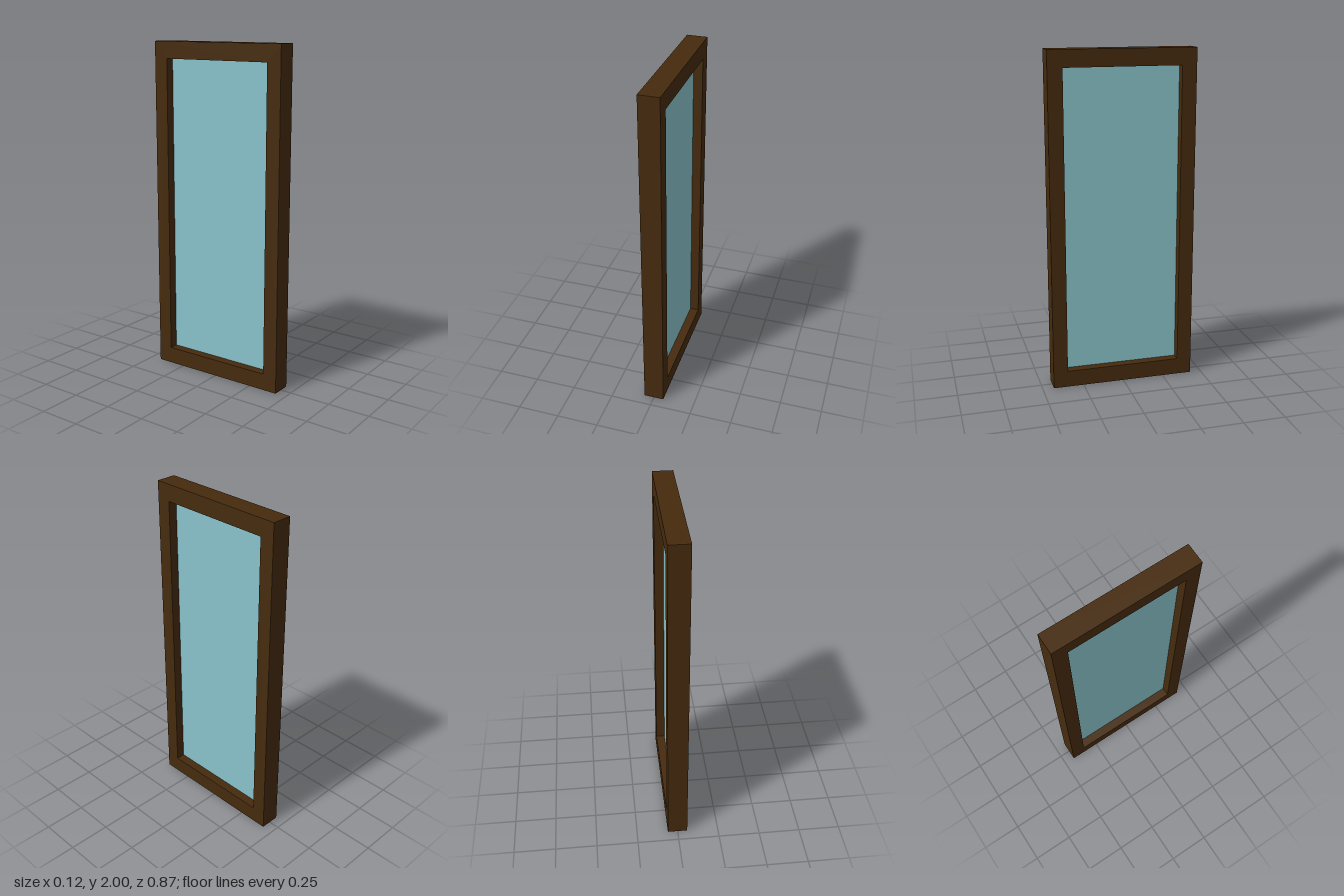
import * as THREE from 'three';

const HEIGHT = 2, WIDTH = 0.866, DEPTH = 0.12;
const OPENING_W = 0.692, OPENING_H = 1.8, GLASS_T = 0.012;

// Traces a centred rectangle into a shape or hole path
function rectangle(path, w, h) {
  path.moveTo(-w / 2, -h / 2);
  path.lineTo(w / 2, -h / 2);
  path.lineTo(w / 2, h / 2);
  path.lineTo(-w / 2, h / 2);
  path.closePath();
  return path;
}

export function createModel() {
  const wood = new THREE.MeshStandardMaterial({ name: 'dark wood', color: 0x462b0e });
  const glass = new THREE.MeshStandardMaterial({ name: 'pale blue glass', color: 0x89c3cb });
  const model = new THREE.Group();
  model.name = 'window';

  // Wooden surround: one extruded rectangle with the opening cut out
  const outline = rectangle(new THREE.Shape(), WIDTH, HEIGHT);
  outline.holes.push(rectangle(new THREE.Path(), OPENING_W, OPENING_H));
  const frameGeometry = new THREE.ExtrudeGeometry(outline, { depth: DEPTH, bevelEnabled: false });
  frameGeometry.translate(0, 0, -DEPTH / 2).rotateY(Math.PI / 2);
  const frame = new THREE.Mesh(frameGeometry, wood);
  frame.name = 'frame';

  // Thin pane set midway through the frame
  const pane = new THREE.Mesh(new THREE.BoxGeometry(GLASS_T, OPENING_H, OPENING_W), glass);
  pane.name = 'pane';

  for (const part of [frame, pane]) {
    part.position.y = HEIGHT / 2;
    model.add(part);
  }
  return model;
}
